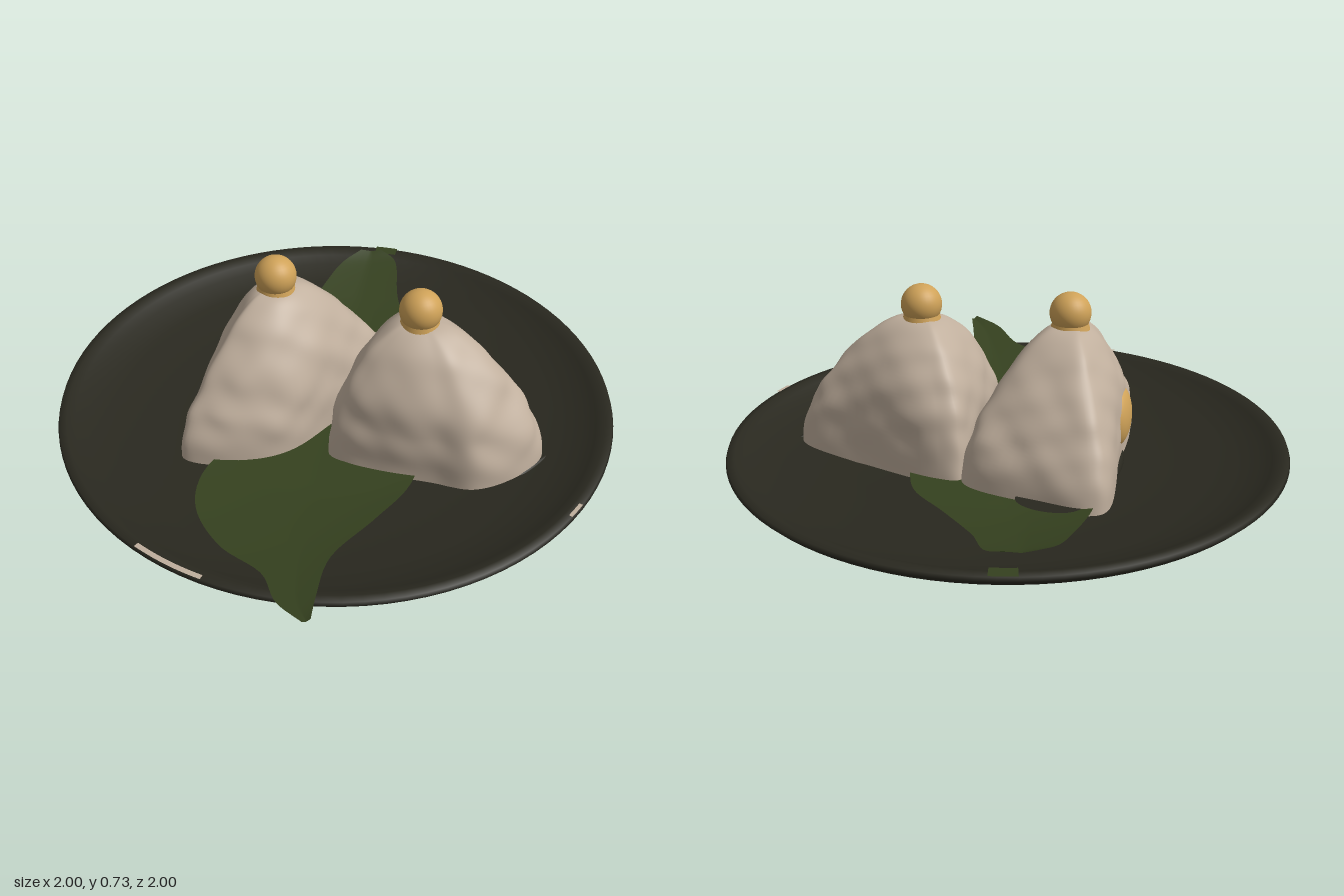
import * as THREE from 'three';
import { mergeVertices } from 'three/addons/utils/BufferGeometryUtils.js';

const mat = (name, color, side = THREE.FrontSide) => {
  const m = new THREE.MeshStandardMaterial({ color, side });
  m.name = name;
  return m;
};

// Smooth surface from fn(u, v) -> [x, y, z]; it faces du x dv
function grid(cols, rows, fn) {
  const pos = [], idx = [];
  for (let i = 0; i <= rows; i++)
    for (let j = 0; j <= cols; j++) pos.push(...fn(j / cols, i / rows));
  for (let i = 0; i < rows; i++)
    for (let j = 0; j < cols; j++) {
      const a = i * (cols + 1) + j, c = a + cols + 1;
      idx.push(a, a + 1, c, a + 1, c + 1, c);
    }
  let g = new THREE.BufferGeometry();
  g.setAttribute('position', new THREE.Float32BufferAttribute(pos, 3));
  g.setIndex(idx);
  g = mergeVertices(g, 1e-5);
  g.computeVertexNormals();
  return g;
}

const curve = (pts, closed = false) =>
  new THREE.CatmullRomCurve3(pts.map(([x, z]) => new THREE.Vector3(x, 0, z)), closed, 'centripetal');

const bumps = (x, y, z) =>
  Math.sin(23 * x + 9 * y + 3) * Math.sin(21 * z - 19 * y) +
  0.6 * Math.sin(33 * x + 2) * Math.sin(37 * y) * Math.sin(31 * z + 1) +
  0.4 * Math.sin(41 * y + 30 * z - 24 * x);

export function createModel() {
  const model = new THREE.Group();
  const plateMat = mat('darkGlaze', 0x29281f);
  const leafMat = mat('leafGreen', 0x35411f, THREE.DoubleSide);
  const riceMat = mat('rice', 0xc0af9d);
  const amberMat = mat('amber', 0xcfa258);

  const add = (name, geo, material, x = 0, y = 0, z = 0, parent = model) => {
    const m = new THREE.Mesh(geo, material);
    m.name = name;
    m.position.set(x, y, z);
    parent.add(m);
    return m;
  };

  // Plate: underside, rim, then the shallow dish
  const outer = [[0.58, 0.008], [0.63, 0.024], [0.8, 0.066], [0.92, 0.112], [0.98, 0.148], [1, 0.168]];
  const profile = [[0, 0.006], [0.57, 0.006], ...outer, [0.995, 0.182], [0.97, 0.185], [0.94, 0.172],
    [0.9, 0.15], [0.8, 0.122], [0.55, 0.094], [0, 0.088]];
  add('plate', new THREE.LatheGeometry(profile.map(p => new THREE.Vector2(...p)), 96), plateMat);

  // Painted patches on the outside of the plate
  const outerY = r => {
    const i = Math.max(1, outer.findIndex(p => p[0] >= r));
    const [a, b] = [outer[i - 1], outer[i]];
    return a[1] + (b[1] - a[1]) * (r - a[0]) / (b[0] - a[0]);
  };
  const patch = (phi0, phi1, r0, r1) => grid(32, 8, (u, v) => {
    const phi = phi0 + (phi1 - phi0) * u;
    const half = (r1 - r0) / 2 * Math.sqrt(Math.max(0, 1 - (2 * u - 1) ** 4));
    const r = (r0 + r1) / 2 + half * (2 * v - 1);
    return [(r + 0.002) * Math.sin(phi), outerY(r) - 0.004, (r + 0.002) * Math.cos(phi)];
  });
  add('greenGlazePatch', patch(-0.82, 0.68, 0.72, 0.96), leafMat);
  add('paleRimMark', patch(-1.25, -0.98, 0.988, 0.999), riceMat);

  // Marks on top of the rim
  const rimMark = (name, material, start, length, inner) => {
    add(name, new THREE.RingGeometry(inner, 0.998, 16, 1, start, length), material, 0, 0.187, 0).rotation.x = -Math.PI / 2;
  };
  rimMark('paleRimTop', riceMat, 3.48, 0.26, 0.98);
  rimMark('paleRimTop', riceMat, 5.04, 0.07, 0.985);
  rimMark('greenRimTop', leafMat, 0.76, 0.09, 0.95);

  // Pale foot with four amber spots, facing down
  const disc = (name, r, material, x, y, z) => {
    add(name, new THREE.CircleGeometry(r, 40), material, x, y, z).rotation.x = Math.PI / 2;
  };
  disc('footDisc', 0.51, riceMat, 0.016, 0.003, 0.012);
  for (const [c, s] of [[-0.037, 0.21], [0.19, 0.06], [-0.037, -0.235], [-0.27, -0.075]])
    disc('footSpot', 0.155, amberMat, -0.8 * c + 0.6 * s, 0, -0.6 * c - 0.8 * s);

  // Leaf: two edges joined across, rising towards its tips
  const leftEdge = curve([[-0.67, 0.92], [-0.69, 0.8], [-0.66, 0.65], [-0.71, 0.47], [-0.69, 0.25], [-0.58, 0.08],
    [-0.3, -0.1], [-0.1, -0.35], [0.1, -0.52], [0.3, -0.63], [0.46, -0.71], [0.56, -0.72]]);
  const rightEdge = curve([[-0.64, 0.92], [-0.57, 0.83], [-0.43, 0.68], [-0.2, 0.58], [0, 0.49], [0.2, 0.3],
    [0.36, 0.12], [0.44, 0], [0.48, -0.2], [0.55, -0.42], [0.65, -0.6], [0.63, -0.67]]);
  add('leaf', grid(14, 60, (u, v) => {
    const p = leftEdge.getPoint(v).lerp(rightEdge.getPoint(v), u);
    const r = Math.hypot(p.x, p.z);
    const y = 0.106 + 0.146 * Math.max(0, (r - 0.45) / 0.68) ** 1.3 + 0.1 * Math.max(0, v - 0.8);
    return [p.x, y + 0.006 * Math.abs(2 * u - 1), p.z];
  }), leafMat);
  const scrap = add('seaweedScrap', new THREE.CircleGeometry(0.09, 24), plateMat, 0.18, 0.119, -0.39);
  scrap.rotation.set(-Math.PI / 2, 0, 0.47);
  scrap.scale.set(0.8, 1.3, 1);

  // Rice mounds: the footprint shrinks and rounds off towards the peak, with a bumpy surface
  function mound(name, foot, [px, pz], scales) {
    const group = new THREE.Group();
    group.name = name;
    model.add(group);
    const outline = curve(foot, true);
    const heights = [0.08, 0.2, 0.3, 0.4, 0.5, 0.56, 0.6, 0.615];
    const sides = new THREE.CatmullRomCurve3(heights.map((y, i) => new THREE.Vector3(scales[i], y, 0)));
    add('rice', grid(96, 48, (u, v) => {
      const f = outline.getPoint(u % 1), q = sides.getPoint(v);
      const dx = f.x - px, dz = f.z - pz, reach = Math.hypot(dx, dz);
      const round = 0.5 * THREE.MathUtils.smoothstep(v, 0, 0.6);
      const s = q.x * THREE.MathUtils.lerp(1, 0.3 / reach, round);
      const k = s * (1 + 0.022 * bumps(px + dx * s, q.y, pz + dz * s) * Math.min(1, 4 * v));
      return [px + dx * k, q.y, pz + dz * k];
    }), riceMat, 0, 0, 0, group);
    add('toppingBall', new THREE.SphereGeometry(0.073, 32, 20), amberMat, px, 0.652, pz, group);
    add('toppingCollar', new THREE.CylinderGeometry(0.062, 0.07, 0.03, 32), amberMat, px, 0.608, pz, group);
  }
  mound('backMound', [[-0.6, -0.05], [-0.47, 0.06], [-0.28, 0.12], [0, 0.05], [0.25, -0.03], [0.29, -0.1],
    [0.2, -0.36], [0.12, -0.52], [0.06, -0.54], [-0.25, -0.32], [-0.5, -0.15]], [-0.147, -0.16],
  [1, 0.99, 0.92, 0.8, 0.59, 0.43, 0.25, 0]);
  mound('frontMound', [[-0.15, 0.2], [-0.12, 0.28], [-0.03, 0.39], [0.09, 0.51], [0.18, 0.615], [0.3, 0.645],
    [0.45, 0.63], [0.5, 0.57], [0.42, 0.3], [0.33, 0.02], [0.27, -0.05], [0.08, 0.07]], [0.167, 0.27],
  [1, 0.99, 0.95, 0.84, 0.64, 0.46, 0.26, 0]);

  // Filling showing on the back face
  const filling = add('filling', new THREE.SphereGeometry(0.11, 32, 20), amberMat, -0.277, 0.265, -0.28);
  filling.scale.z = 0.46;
  filling.rotation.y = Math.atan2(0.59, 0.807);

  // Seaweed peeking out from under each mound
  for (const [x, z, turn] of [[-0.25, -0.315, 0.63], [0.43, 0.628, 0.2]]) {
    const strip = add('seaweedStrip', new THREE.SphereGeometry(0.11, 24, 12), plateMat, x, 0.095, z);
    strip.scale.set(1, 0.28, 0.16);
    strip.rotation.y = turn;
  }

  return model;
}
